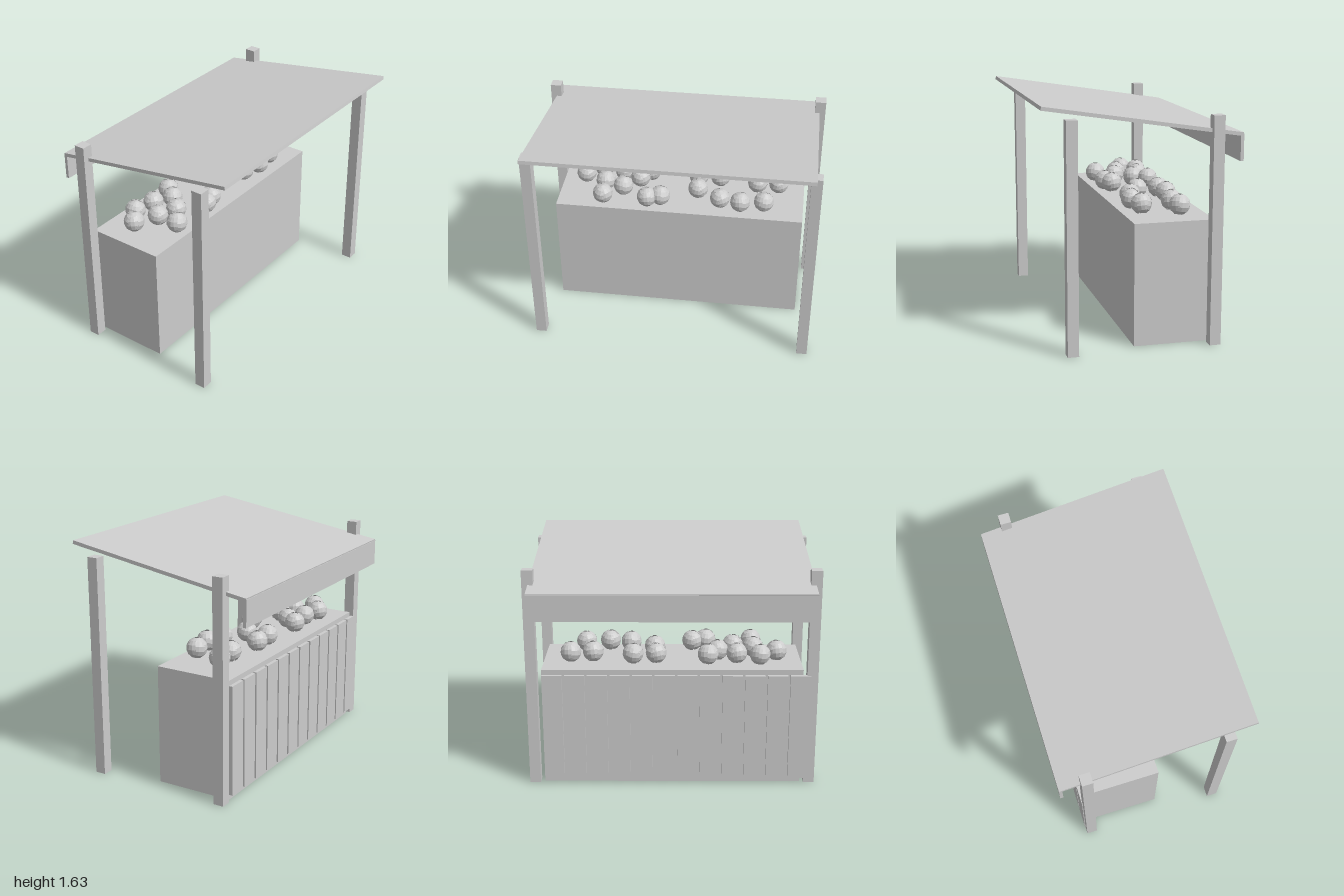
import * as THREE from 'three';
import { mergeGeometries } from 'three/addons/utils/BufferGeometryUtils.js';

const grey = new THREE.MeshStandardMaterial({ color: 0xcccccc, side: THREE.DoubleSide });
grey.name = 'plain grey';

// Box given by its minimum and maximum corners
function box(name, [x0, y0, z0], [x1, y1, z1]) {
  const mesh = new THREE.Mesh(new THREE.BoxGeometry(x1 - x0, y1 - y0, z1 - z0), grey);
  mesh.position.set((x0 + x1) / 2, (y0 + y1) / 2, (z0 + z1) / 2);
  mesh.name = name;
  return mesh;
}

// Faceted cabbage: a round heart wrapped in overlapping leaf shells
function cabbageGeometry() {
  const parts = [new THREE.SphereGeometry(0.067, 8, 6)];
  for (let i = 0; i < 6; i++) {
    const leaf = new THREE.SphereGeometry(0.073, 3, 5, 0, 1.15, 0.25, 2.3);
    leaf.rotateX(i % 2 ? 0.15 : -0.12);
    leaf.rotateY((i * Math.PI) / 3);
    parts.push(leaf);
  }
  const geometry = mergeGeometries(parts).toNonIndexed();
  geometry.computeVertexNormals();
  return geometry;
}

export function createModel() {
  const stall = new THREE.Group();
  stall.name = 'marketStall';

  // Four corner posts
  for (const s of [-1, 1]) {
    const [a, b] = s < 0 ? [-1, -0.925] : [0.925, 1];
    stall.add(box('frontPost', [a, 0, 0.445], [b, 1.54, 0.52]));
    stall.add(box('backPost', [a, 0, -0.52], [b, 1.54, -0.445]));
  }

  // Counter block
  stall.add(box('counter', [-0.9, 0, -0.5], [0.895, 0.835, 0.05]));

  // Vertical boards along the back of the counter
  const boards = new THREE.Group();
  boards.name = 'backBoards';
  for (let i = 0; i < 12; i++) {
    const x = 0.893 - i * 0.155;
    boards.add(box('board', [x - 0.138, 0.035, -0.525], [x, 0.8, -0.5]));
  }
  stall.add(boards);

  // Sloping roof with a hanging board at its low edge
  const roof = new THREE.Mesh(new THREE.BoxGeometry(1.92, 0.025, 1.345), grey);
  roof.name = 'roof';
  roof.position.set(0, 1.51, 0.004);
  roof.rotation.x = -0.155;
  stall.add(roof);
  stall.add(box('valance', [-0.96, 1.23, -0.665], [0.96, 1.41, -0.643]));

  // Two heaps of cabbages as [x, z]
  const spots = [
    [-0.73, -0.28], [-0.565, -0.035], [-0.61, -0.37], [-0.57, -0.2], [-0.43, -0.15],
    [-0.45, -0.34], [-0.32, -0.27], [-0.25, -0.365], [-0.24, -0.03], [-0.145, -0.06],
    [0.11, -0.34], [0.12, -0.18], [0.29, -0.08], [0.27, -0.35], [0.44, -0.05],
    [0.61, -0.075], [0.55, -0.305], [0.705, -0.315],
  ];
  const cabbages = new THREE.Group();
  cabbages.name = 'cabbages';
  const shape = cabbageGeometry();
  spots.forEach(([x, z], i) => {
    const cabbage = new THREE.Mesh(shape, grey);
    cabbage.name = 'cabbage';
    cabbage.position.set(x, 0.905, z);
    cabbage.rotation.y = i * 1.7;
    cabbages.add(cabbage);
  });
  stall.add(cabbages);

  return stall;
}
